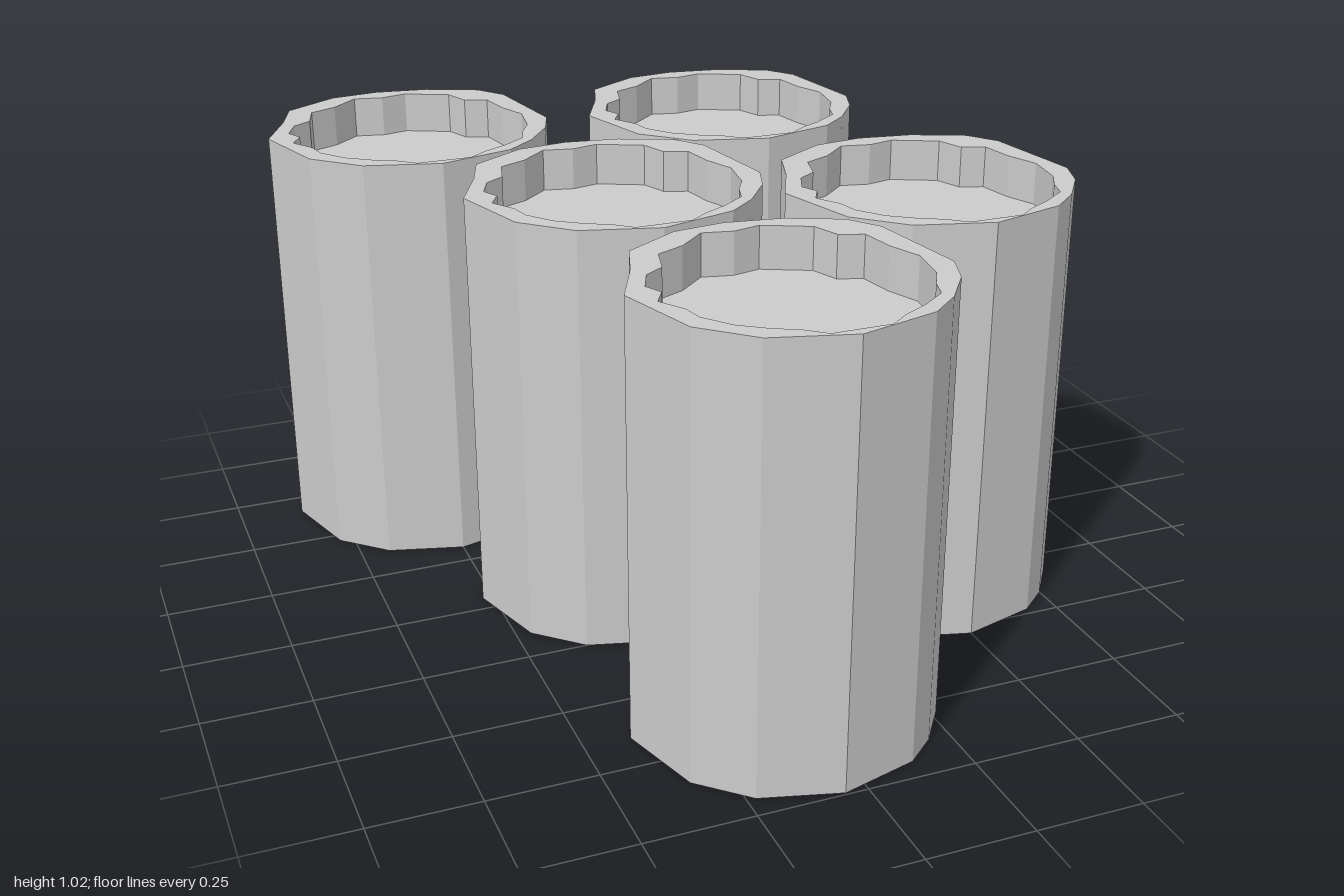
import * as THREE from 'three';

const HEIGHT = 1.02, RECESS = 0.1, BEVEL = 0.03;

// Irregular outlines of one log, as [x, z] around its centre
const BARK = [
  [-.345, -.01], [-.285, -.14], [-.25, -.245], [-.12, -.325], [0, -.34], [.13, -.32],
  [.255, -.265], [.305, -.195], [.345, .055], [.315, .14], [.25, .23], [.18, .29],
  [0, .34], [-.18, .29], [-.285, .19], [-.315, .09],
];
const CORE = [
  [-.29, -.04], [-.27, 0], [-.295, .045], [-.26, .1], [-.25, .15], [-.205, .21],
  [-.15, .25], [-.095, .28], [-.055, .315], [.075, .315], [.12, .28], [.175, .25],
  [.235, .205], [.25, .155], [.28, .1], [.295, 0], [.265, -.075], [.25, -.16],
  [.195, -.18], [.17, -.245], [.065, -.295], [0, -.28], [-.07, -.295],
  [-.135, -.235], [-.2, -.205], [-.22, -.13], [-.265, -.1],
];

// Log centres on the ground, as [x, z]
const LOGS = [[-.5, -.66], [.295, -.57], [-.18, -.04], [.5, .19], [-.05, .655]];

const toPoints = (list) => list.map(([x, z]) => new THREE.Vector2(x, -z));

function extrudeUp(shape, y0, y1) {
  const geometry = new THREE.ExtrudeGeometry(shape, { depth: y1 - y0, bevelEnabled: false });
  return geometry.rotateX(-Math.PI / 2).translate(0, y0, 0);
}

// Hollow bark, its lower rim sloping up towards the core
function barkGeometry() {
  const ring = new THREE.Shape(toPoints(BARK));
  ring.holes.push(new THREE.Path(toPoints(CORE)));
  const geometry = extrudeUp(ring, 0, HEIGHT);
  const p = geometry.attributes.position;
  for (let i = 0; i < p.count; i++) {
    const inner = CORE.some(([x, z]) => Math.hypot(p.getX(i) - x, p.getZ(i) - z) < 1e-4);
    if (inner && p.getY(i) < 0.01) p.setY(i, BEVEL);
  }
  geometry.computeVertexNormals();
  return geometry;
}

export function createModel() {
  const group = new THREE.Group();
  group.name = 'logs';
  const material = new THREE.MeshStandardMaterial({ color: 0xcccccc, flatShading: true });
  const bark = barkGeometry();
  // Wooden core, sunk below the bark at both ends
  const core = extrudeUp(new THREE.Shape(toPoints(CORE)), RECESS + BEVEL, HEIGHT - RECESS);

  for (const [x, z] of LOGS) {
    const log = new THREE.Group();
    log.name = 'log';
    for (const [name, geometry] of [['bark', bark], ['core', core]]) {
      const mesh = new THREE.Mesh(geometry, material);
      mesh.name = name;
      log.add(mesh);
    }
    log.position.set(x, 0, z);
    group.add(log);
  }
  return group;
}
